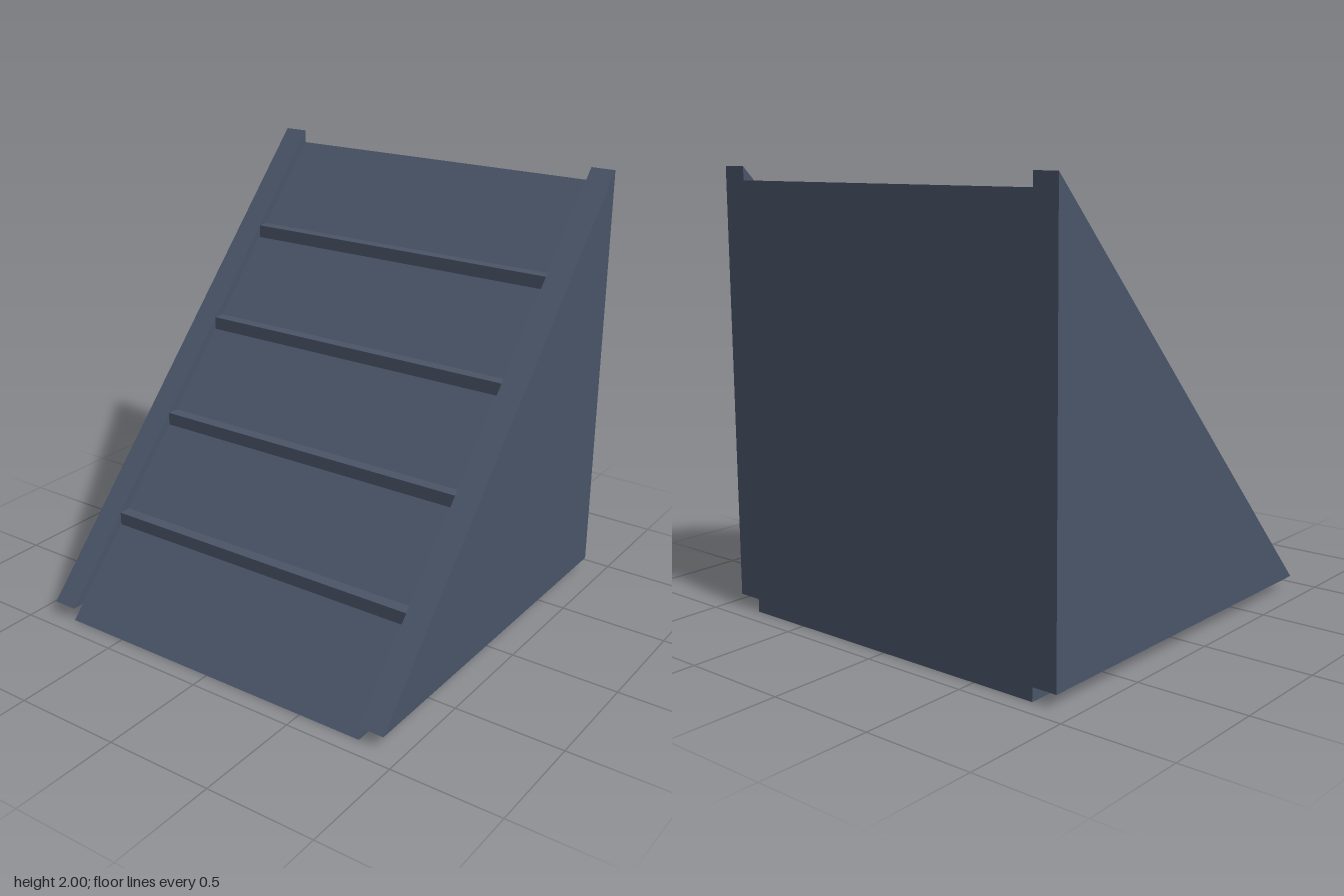
import * as THREE from 'three';

const HALF = 0.913;   // half depth and half width
const INNER = 0.797;  // half width between the side panels
const RISE = 1.94;    // height of the slope
const LIFT = 0.06;    // how far the side panels sit above the deck

// Triangular prism from [z, y] corners, spanning x0 to x1
function prism(name, corners, x0, x1, material) {
  const shape = new THREE.Shape(corners.map(([z, y]) => new THREE.Vector2(z, y)));
  const geometry = new THREE.ExtrudeGeometry(shape, { depth: x1 - x0, bevelEnabled: false });
  geometry.rotateY(-Math.PI / 2);
  geometry.translate(x1, 0, 0);
  const mesh = new THREE.Mesh(geometry, material);
  mesh.name = name;
  return mesh;
}

export function createModel() {
  const group = new THREE.Group();
  group.name = 'ramp';
  const slate = new THREE.MeshStandardMaterial({ color: 0x4a5568, flatShading: true });
  slate.name = 'slate';

  const wedge = (y) => [[HALF, y], [-HALF, y], [-HALF, y + RISE]];
  const slopeZ = (y) => HALF - (y / RISE) * 2 * HALF;

  // Central sloping body
  group.add(prism('rampBody', wedge(0), -INNER, INNER, slate));

  // Raised side panels
  group.add(prism('leftSidePanel', wedge(LIFT), INNER, HALF, slate));
  group.add(prism('rightSidePanel', wedge(LIFT), -HALF, -INNER, slate));

  // Four cleats with level tops, flush with the side panels
  for (let i = 1; i <= 4; i++) {
    const y0 = (RISE * i) / 5 - LIFT / 2;
    const y1 = y0 + LIFT;
    const corners = [[slopeZ(y0), y0], [slopeZ(y0), y1], [slopeZ(y1), y1]];
    group.add(prism('cleat' + i, corners, -INNER, INNER, slate));
  }

  return group;
}
